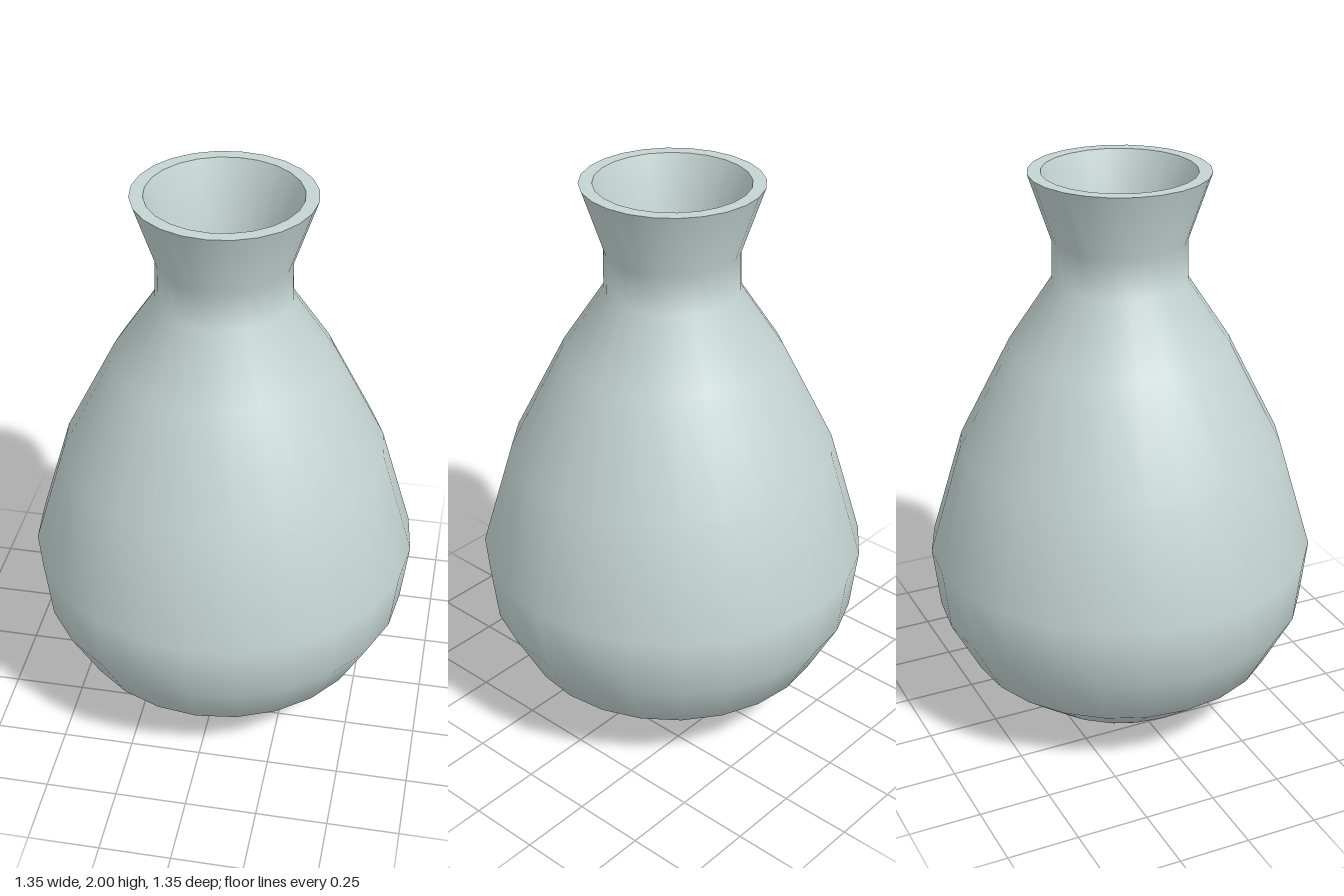
import * as THREE from 'three';

const SEGMENTS = 24;

export function createModel() {
  const vase = new THREE.Group();
  vase.name = 'vase';

  const glaze = new THREE.MeshStandardMaterial({ color: 0xc4d4d2 });
  glaze.name = 'pale grey green glaze';

  // Revolves a [radius, height] profile; rising profiles face outward, falling ones inward
  function addLathe(name, profile) {
    const points = profile.map(([r, y]) => new THREE.Vector2(r, y));
    const mesh = new THREE.Mesh(new THREE.LatheGeometry(points, SEGMENTS), glaze);
    mesh.name = name;
    vase.add(mesh);
  }

  // Base, belly, shoulder, neck and flared mouth, smooth throughout
  addLathe('outerBody', [
    [0, 0], [0.24, 0], [0.37, 0.09], [0.545, 0.23], [0.65, 0.43], [0.675, 0.65],
    [0.56, 1.04], [0.38, 1.4], [0.23, 1.63], [0.228, 1.77], [0.305, 2],
  ]);

  // Flat lip with sharp edges
  addLathe('rim', [[0.305, 2], [0.26, 2]]);

  // Hollow inside, following the outer wall
  addLathe('innerWall', [
    [0.26, 2], [0.178, 1.77], [0.176, 1.63], [0.335, 1.38], [0.51, 1.03],
    [0.625, 0.65], [0.602, 0.44], [0.505, 0.26], [0.345, 0.13], [0.225, 0.05],
  ]);

  // Flat inside bottom
  addLathe('innerFloor', [[0.225, 0.05], [0, 0.05]]);

  return vase;
}
